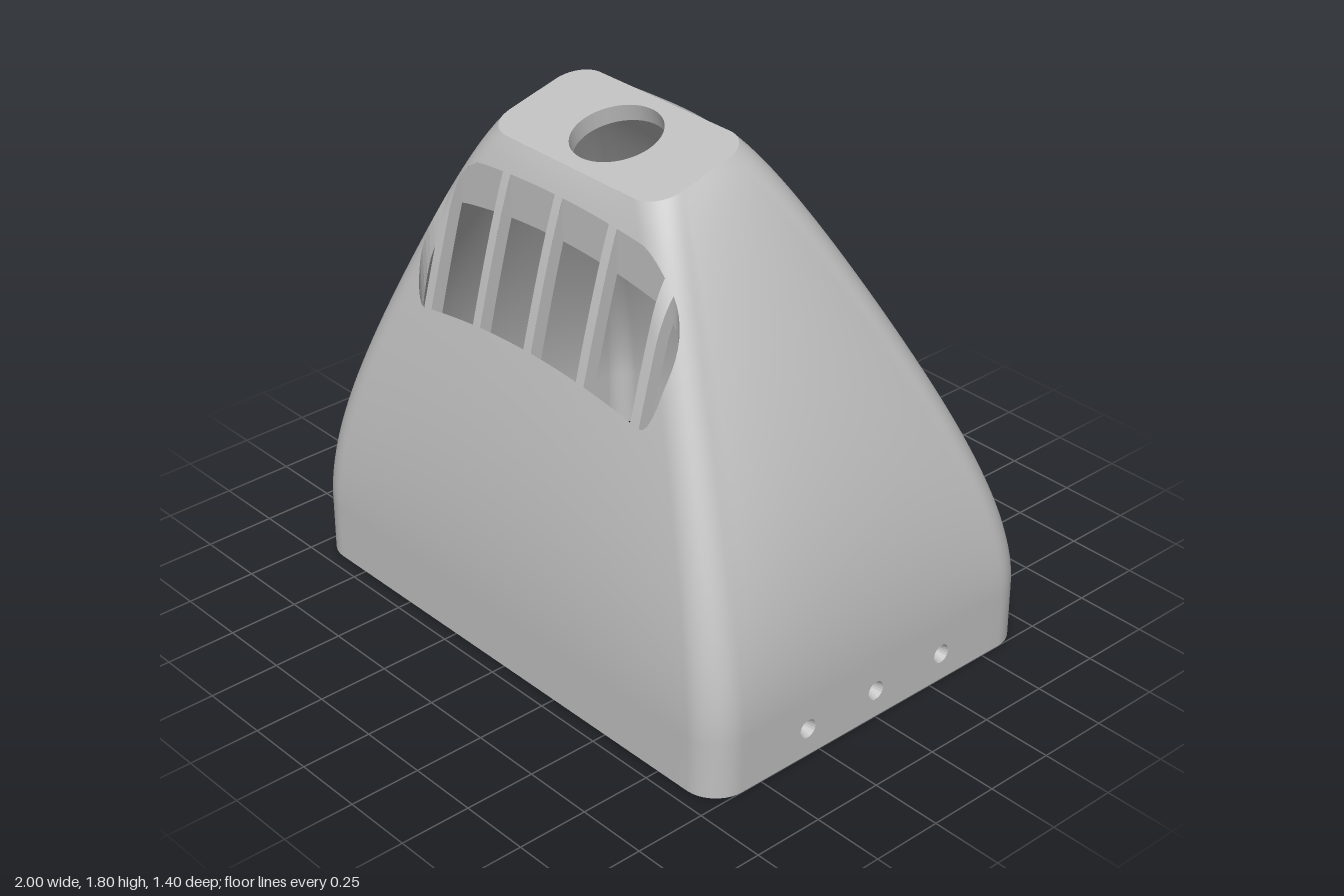
import * as THREE from 'three';

const lerp = THREE.MathUtils.lerp;
const WALL = 0.05, SKIRT = 0.2, ROOF = 0.06;
// Bulge of each face at its middle, and along the four corner ridges
const BULGE = { front: 0.83, back: 1.18, side: 0.86, corner: 0.66 };
const roofY = (z) => 1.8 - (0.1 * z) / 0.39;

// Rounded-rectangle plan of the hood; s = 0 at the skirt, 1 at the roof
function section(s) {
  const front = lerp(0.7, 0.39, s), back = lerp(-0.7, 0, s);
  return { w: lerp(1, 0.4, s), front, back, zc: (front + back) / 2, h: (front - back) / 2, r: lerp(0.12, 0.1, s) };
}

// Height of the curved wall at plan point (x, z) of section s
function wallY(s, x, z, inset) {
  const c = section(s), t = Math.sqrt(s);
  const ax = Math.abs(x), az = Math.abs(z - c.zc);
  const onSide = ax - c.w > az - c.h;
  const face = onSide ? BULGE.side : z < c.zc ? BULGE.back : BULGE.front;
  const u = Math.min(onSide ? az / (c.h - c.r) : ax / (c.w - c.r), 1);
  const ctrl = lerp(face, BULGE.corner, u * u);
  const top = 1.8 - (0.1 * (z - c.back)) / (c.front - c.back);
  const shoulder = 0.7 * t ** 8 * (1 - t);
  const y = SKIRT * (1 - t) ** 2 + 2 * ctrl * t * (1 - t) + top * s + shoulder;
  return inset ? Math.min(y, roofY(z) - ROOF) : y;
}

// Wall height above any plan point, found by bisection on s
function heightAt(x, z, inset) {
  let lo = 0, hi = 1;
  for (let i = 0; i < 40; i++) {
    const s = (lo + hi) / 2, c = section(s);
    const qx = Math.abs(x) - c.w + c.r, qz = Math.abs(z - c.zc) - c.h + c.r;
    const d = Math.hypot(Math.max(qx, 0), Math.max(qz, 0)) + Math.min(Math.max(qx, qz), 0) - c.r + inset;
    if (d > 0) hi = s; else lo = s;
  }
  return wallY(lo, x, z, inset);
}

// Closed plan loop of section s, as [x, z] points
function ring(s, inset) {
  const c = section(s), r = c.r - inset, pts = [], ARC = 10, EDGE = 24;
  const signs = [[1, 1], [-1, 1], [-1, -1], [1, -1]];
  const corner = (k, i) => {
    const a = ((k % 4) + i / ARC) * Math.PI / 2, [sx, sz] = signs[k % 4];
    return [sx * (c.w - c.r) + r * Math.cos(a), c.zc + sz * (c.h - c.r) + r * Math.sin(a)];
  };
  for (let k = 0; k < 4; k++) {
    for (let i = 0; i <= ARC; i++) pts.push(corner(k, i));
    const p = corner(k, ARC), q = corner(k + 1, 0);
    for (let i = 1; i < EDGE; i++) pts.push([lerp(p[0], q[0], i / EDGE), lerp(p[1], q[1], i / EDGE)]);
  }
  return pts;
}

// Keep the part of a polygon on one side of the line p-q in axes (a, b)
function clip(poly, p, q, [a, b], sign) {
  const dist = (v) => sign * ((q[0] - p[0]) * (v[b] - p[1]) - (q[1] - p[1]) * (v[a] - p[0]));
  const out = [];
  poly.forEach((v, i) => {
    const n = poly[(i + 1) % poly.length], d = dist(v), e = dist(n);
    if (d >= 0) out.push(v);
    if ((d > 0 && e < 0) || (d < 0 && e > 0)) out.push(v.map((m, k) => lerp(m, n[k], d / (d - e))));
  });
  return out.length > 2 ? out : [];
}

// Cut a convex prism out of a polygon, returning the remaining pieces
function subtract(poly, { loop, axes }) {
  for (let k = 0; k < 2; k++) {
    const own = poly.map((v) => v[axes[k]]), cut = loop.map((v) => v[k]);
    if (Math.max(...own) <= Math.min(...cut) || Math.min(...own) >= Math.max(...cut)) return [poly];
  }
  const pieces = [];
  let rest = poly;
  for (let i = 0; i < loop.length && rest.length; i++) {
    const p = loop[i], q = loop[(i + 1) % loop.length];
    const outside = clip(rest, p, q, axes, -1);
    if (outside.length) pieces.push(outside);
    rest = clip(rest, p, q, axes, 1);
  }
  return rest.length ? pieces : [poly];
}

// Lofted skin of the hood with the prisms cut out of it
function skin(inset, cuts) {
  const ROWS = 50, pos = [], idx = [], count = ring(0, inset).length;
  for (let j = -1; j <= ROWS; j++) {
    const s = Math.max(j / ROWS, 0) ** 2;
    for (const [x, z] of ring(s, inset)) pos.push(x, j < 0 ? 0 : wallY(s, x, z, inset), z);
  }
  for (let j = 0; j <= ROWS; j++) for (let i = 0; i < count; i++) {
    const a = j * count + i, b = j * count + ((i + 1) % count), c = a + count, d = b + count;
    if (inset) idx.push(a, b, c, b, d, c); else idx.push(a, c, b, b, c, d);
  }
  const g = new THREE.BufferGeometry();
  g.setAttribute('position', new THREE.Float32BufferAttribute(pos, 3));
  g.setIndex(idx);
  g.computeVertexNormals();
  const normal = g.attributes.normal.array, P = [], N = [];
  for (let i = 0; i < idx.length; i += 3) {
    let polys = [[0, 1, 2].map((k) => {
      const o = idx[i + k] * 3;
      return [...pos.slice(o, o + 3), ...normal.slice(o, o + 3)];
    })];
    for (const cut of cuts) polys = polys.flatMap((p) => subtract(p, cut));
    for (const p of polys) for (let k = 1; k < p.length - 1; k++) for (const v of [p[0], p[k], p[k + 1]]) {
      P.push(v[0], v[1], v[2]);
      N.push(v[3], v[4], v[5]);
    }
  }
  const out = new THREE.BufferGeometry();
  out.setAttribute('position', new THREE.Float32BufferAttribute(P, 3));
  out.setAttribute('normal', new THREE.Float32BufferAttribute(N, 3));
  return out;
}

// Band of quads between two matching closed loops of [x, y, z] points
function band(low, up, inward) {
  const P = [];
  low.forEach((a, i) => {
    const k = (i + 1) % low.length, b = low[k], c = up[i], d = up[k];
    P.push(...(inward ? [a, b, c, b, d, c] : [a, c, b, b, c, d]).flat());
  });
  const g = new THREE.BufferGeometry();
  g.setAttribute('position', new THREE.Float32BufferAttribute(P, 3));
  g.computeVertexNormals();
  return g;
}

const arc = (cx, cy, rx, ry, from, to, n) => Array.from({ length: n }, (_, i) => {
  const a = lerp(from, to, i / (n - 1));
  return [cx + rx * Math.cos(a), cy + ry * Math.sin(a)];
});
const circle = (cx, cy, rx, ry, n) => arc(cx, cy, rx, ry, 0, 2 * Math.PI, n + 1).slice(0, n);

// Sloping roof plate face with its round opening
function roofFace(outline, hole, drop, down) {
  const shape = new THREE.Shape(outline.map(([x, z]) => new THREE.Vector2(x, -z)));
  shape.holes.push(new THREE.Path(hole.map(([x, z]) => new THREE.Vector2(x, -z))));
  const g = new THREE.ShapeGeometry(shape).rotateX(-Math.PI / 2), p = g.attributes.position;
  for (let i = 0; i < p.count; i++) p.setY(i, roofY(p.getZ(i)) - drop);
  if (down) g.index.array.reverse();
  g.computeVertexNormals();
  return g;
}

export function createModel() {
  const group = new THREE.Group();
  const grey = new THREE.MeshStandardMaterial({ color: 0xc0c0c0 });
  grey.name = 'grey';
  const add = (name, geometry) => {
    const mesh = new THREE.Mesh(geometry, grey);
    mesh.name = name;
    group.add(mesh);
  };

  // Vent slots, leaving five upright bars between them
  const slots = [-0.375, -0.125, 0.125, 0.375].map((x) =>
    [[x - 0.107, 0.43], [x + 0.107, 0.43], [x + 0.107, 0.57], [x - 0.107, 0.57]]);
  slots.push(arc(0.52, 0.5, 0.07, 0.07, -Math.PI / 2, Math.PI / 2, 15));
  slots.push(arc(-0.52, 0.5, 0.07, 0.07, Math.PI / 2, Math.PI * 1.5, 15));
  const slotCuts = slots.map((loop) => ({ loop, axes: [0, 2] }));

  // Countersunk screw holes through both sides of the skirt
  const screws = (r) => [-0.3, 0, 0.3].map((z) => ({ loop: circle(z, 0.1, r, r, 20), axes: [2, 1] }));
  const wide = screws(0.033), narrow = screws(0.016);

  add('outerShell', skin(0, [...slotCuts, ...wide]));
  add('innerShell', skin(WALL, [...slotCuts, ...narrow]));

  for (const loop of slots) {
    // Subdivide each edge so the cut follows the curved wall
    const fine = loop.flatMap((p, i) => {
      const q = loop[(i + 1) % loop.length];
      return Array.from({ length: 8 }, (_, k) => [lerp(p[0], q[0], k / 8), lerp(p[1], q[1], k / 8)]);
    });
    const at = (inset) => fine.map(([x, z]) => [x, heightAt(x, z, inset), z]);
    add('ventSlotWall', band(at(WALL), at(0), true));
  }

  wide.forEach((w, i) => {
    const at = (loop, x) => loop.map(([z, y]) => [x, y, z]);
    add('leftScrewHole', band(at(narrow[i].loop, 1 - WALL), at(w.loop, 1), true));
    add('rightScrewHole', band(at(w.loop, -1), at(narrow[i].loop, WALL - 1), true));
  });

  // Bottom rim between the two skins
  const floor = (inset) => ring(0, inset).map(([x, z]) => [x, 0, z]);
  add('bottomRim', band(floor(WALL), floor(0), false));

  // Roof plate with a round opening square to its slope
  const upper = circle(0, 0.195, 0.15, 0.145, 64), lower = circle(0, 0.18, 0.15, 0.145, 64);
  add('roofTop', roofFace(ring(1, 0), upper, 0, false));
  add('roofUnderside', roofFace(ring(1, WALL), lower, ROOF, true));
  const lift = (loop, drop) => loop.map(([x, z]) => [x, roofY(z) - drop, z]);
  add('roofHoleWall', band(lift(lower, ROOF), lift(upper, 0), true));

  return group;
}
